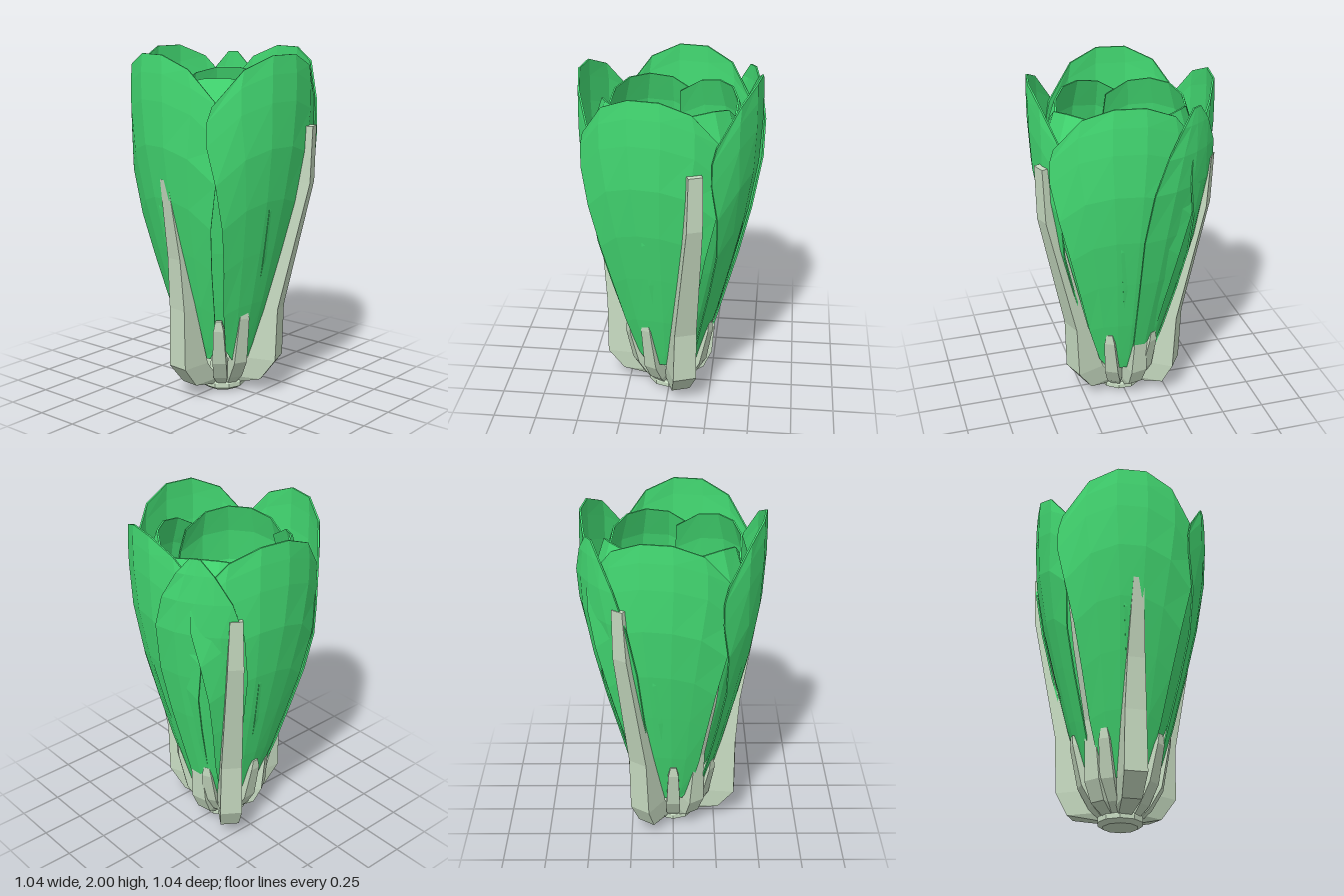
import * as THREE from 'three';

const green = new THREE.MeshStandardMaterial({ color: 0x44dd74, flatShading: true });
const pale = new THREE.MeshStandardMaterial({ color: 0xc8dcc2, flatShading: true });
const polar = (deg, r, y) => {
  const a = THREE.MathUtils.degToRad(deg);
  return [r * Math.sin(a), y, r * Math.cos(a)];
};

// Skin closed loops (counter-clockwise from above, listed bottom to top) and cap both ends
function loft(name, loops, material) {
  const n = loops[0].length, last = (loops.length - 1) * n, index = [];
  for (let k = 0; k < loops.length - 1; k++) {
    for (let i = 0; i < n; i++) {
      const a = k * n + i, b = k * n + (i + 1) % n;
      index.push(a, b, b + n, a, b + n, a + n);
    }
  }
  for (let i = 0; i < n / 2 - 1; i++) {
    const a = i, b = i + 1, c = n - 2 - i, d = n - 1 - i;
    index.push(a, c, b, a, d, c);
    index.push(last + a, last + b, last + c, last + a, last + c, last + d);
  }
  const geometry = new THREE.BufferGeometry();
  geometry.setAttribute('position', new THREE.Float32BufferAttribute(loops.flat(2), 3));
  geometry.setIndex(index);
  geometry.computeVertexNormals();
  const mesh = new THREE.Mesh(geometry, material);
  mesh.name = name;
  return mesh;
}

// Curved leaf: rows are [height, radius, half width in degrees].
// The rim drops toward its edges; cup pulls both edges inward (or flattens the leaf when
// negative), spiral lifts one edge over the neighbour.
function leaf(name, azimuth, rows, { drop = 0.15, spiral = 0.015, cup = 0, cols = 4 } = {}) {
  const y0 = rows[0][0], thick = 0.01;
  const loops = rows.map(([y, r, half]) => {
    const outer = [], inner = [];
    for (let i = 0; i <= cols; i++) {
      const u = (i / cols) * 2 - 1;
      const h = y0 + (y - y0) * (1 - drop * Math.abs(u) ** 2.5);
      const radius = r * (1 - cup * u * u) - spiral * u;
      outer.push(polar(azimuth + u * half, radius, h));
      inner.unshift(polar(azimuth + u * half, radius - thick, h));
    }
    return outer.concat(inner);
  });
  return loft(name, loops, green);
}

// Pale rib: rows are [height, outer radius, width, depth]
function rib(name, azimuth, rows) {
  const [sx, , sz] = polar(azimuth, 1, 0);
  const loops = rows.map(([y, r, w, d]) =>
    [[-w / 2, r], [w / 2, r], [w / 2, r - d], [-w / 2, r - d]].map(([t, q]) => [sx * q + sz * t, y, sz * q - sx * t]));
  return loft(name, loops, pale);
}

export function createModel() {
  const model = new THREE.Group();

  // Outer leaves, overlapping like a pinwheel
  const outerRows = [[0.22, 0.195, 26], [0.3, 0.22, 37], [0.58, 0.3, 40], [0.9, 0.38, 40],
    [1.2, 0.45, 41], [1.5, 0.5, 45], [1.75, 0.515, 50], [1.9, 0.515, 50], [2, 0.51, 47]];
  for (const azimuth of [-10, 80, 170, 260]) {
    model.add(leaf('outerLeaf', azimuth, outerRows, { cols: 5, spiral: 0.008, cup: -0.025 }));
  }
  // Pointed leaf wrapped over the back right corner
  model.add(leaf('wrapLeaf', 123, [[0.24, 0.21, 20], [0.42, 0.27, 31], [0.9, 0.4, 32], [1.2, 0.47, 32],
    [1.5, 0.525, 28], [1.7, 0.54, 21], [1.86, 0.54, 11], [1.95, 0.535, 3]], { spiral: 0, drop: 0 }));

  // Second layer, closing in toward the top
  const secondRows = [[0.26, 0.18, 36], [0.6, 0.28, 45], [0.9, 0.36, 48], [1.2, 0.425, 50],
    [1.5, 0.455, 52], [1.7, 0.425, 53], [1.87, 0.372, 52]];
  for (const azimuth of [35, 125, 215, 305]) {
    model.add(leaf('secondLeaf', azimuth, secondRows, { cols: 5, drop: 0.07, spiral: 0.012 }));
  }

  // Inner rosettes of narrow cupped leaves
  for (let i = 0; i < 5; i++) {
    model.add(leaf('innerLeaf', i * 72 + 44, [[0.3, 0.14, 38], [0.7, 0.23, 43], [1.05, 0.285, 45],
      [1.3, 0.28, 45], [1.48, 0.285, 38]], { drop: 0.1, cup: 0.14 }));
    model.add(leaf('middleLeaf', i * 72 + 80, [[0.3, 0.1, 38], [0.7, 0.17, 43], [1.05, 0.22, 45],
      [1.25, 0.2, 45], [1.38, 0.205, 36]], { drop: 0.12, cup: 0.18 }));
  }
  for (let i = 0; i < 4; i++) {
    model.add(leaf('heartLeaf', i * 90 + 15, [[0.3, 0.06, 40], [0.7, 0.1, 52], [1.0, 0.125, 56],
      [1.22, 0.11, 46]], { spiral: 0.035 }));
  }

  // Long ribs on the outside
  model.add(rib('frontRib', 20, [[0.04, 0.11, 0.07, 0.06], [0.08, 0.25, 0.11, 0.17], [0.21, 0.345, 0.14, 0.17],
    [0.52, 0.355, 0.13, 0.08], [1.27, 0.53, 0.09, 0.07], [1.59, 0.54, 0.08, 0.04]]));
  model.add(rib('backRib', 146, [[0.04, 0.11, 0.07, 0.06], [0.08, 0.29, 0.11, 0.18], [0.21, 0.355, 0.13, 0.17],
    [0.55, 0.37, 0.12, 0.09], [1.3, 0.52, 0.09, 0.07], [1.6, 0.535, 0.07, 0.03]]));
  model.add(rib('leftRib', 265, [[0.04, 0.11, 0.07, 0.06], [0.08, 0.28, 0.11, 0.18], [0.2, 0.375, 0.13, 0.18],
    [0.55, 0.375, 0.12, 0.09], [0.85, 0.395, 0.1, 0.05], [1.31, 0.465, 0.06, 0.05]]));
  for (const [name, azimuth] of [['rightRib', 102], ['backLeftRib', 214]]) {
    model.add(rib(name, azimuth, [[0.04, 0.11, 0.06, 0.06], [0.1, 0.2, 0.09, 0.12], [0.21, 0.25, 0.1, 0.1],
      [0.55, 0.275, 0.07, 0.04], [0.95, 0.385, 0.06, 0.04], [1.3, 0.46, 0.04, 0.04]]));
  }

  // Short pointed ribs around the foot
  for (const [azimuth, top] of [[-25, 0.55], [-56, 0.48], [62, 0.5], [118, 0.48], [180, 0.5], [234, 0.48]]) {
    model.add(rib('footRib', azimuth, [[0.04, 0.11, 0.05, 0.06], [0.1, 0.17, 0.08, 0.1], [0.21, 0.235, 0.08, 0.08],
      [top - 0.06, 0.285, 0.06, 0.05], [top, 0.285, 0.035, 0.03]]));
  }

  // Core and cut root
  const core = new THREE.Mesh(new THREE.CylinderGeometry(0.03, 0.1, 0.4, 6), pale);
  core.name = 'core';
  core.position.y = 0.24;
  const profile = [[0, 0], [0.1, 0], [0.13, 0.02], [0.13, 0.045], [0.12, 0.06], [0, 0.06]];
  const root = new THREE.Mesh(new THREE.LatheGeometry(profile.map(([r, y]) => new THREE.Vector2(r, y)), 10), pale);
  root.name = 'cutRoot';
  model.add(core, root);

  return model;
}
